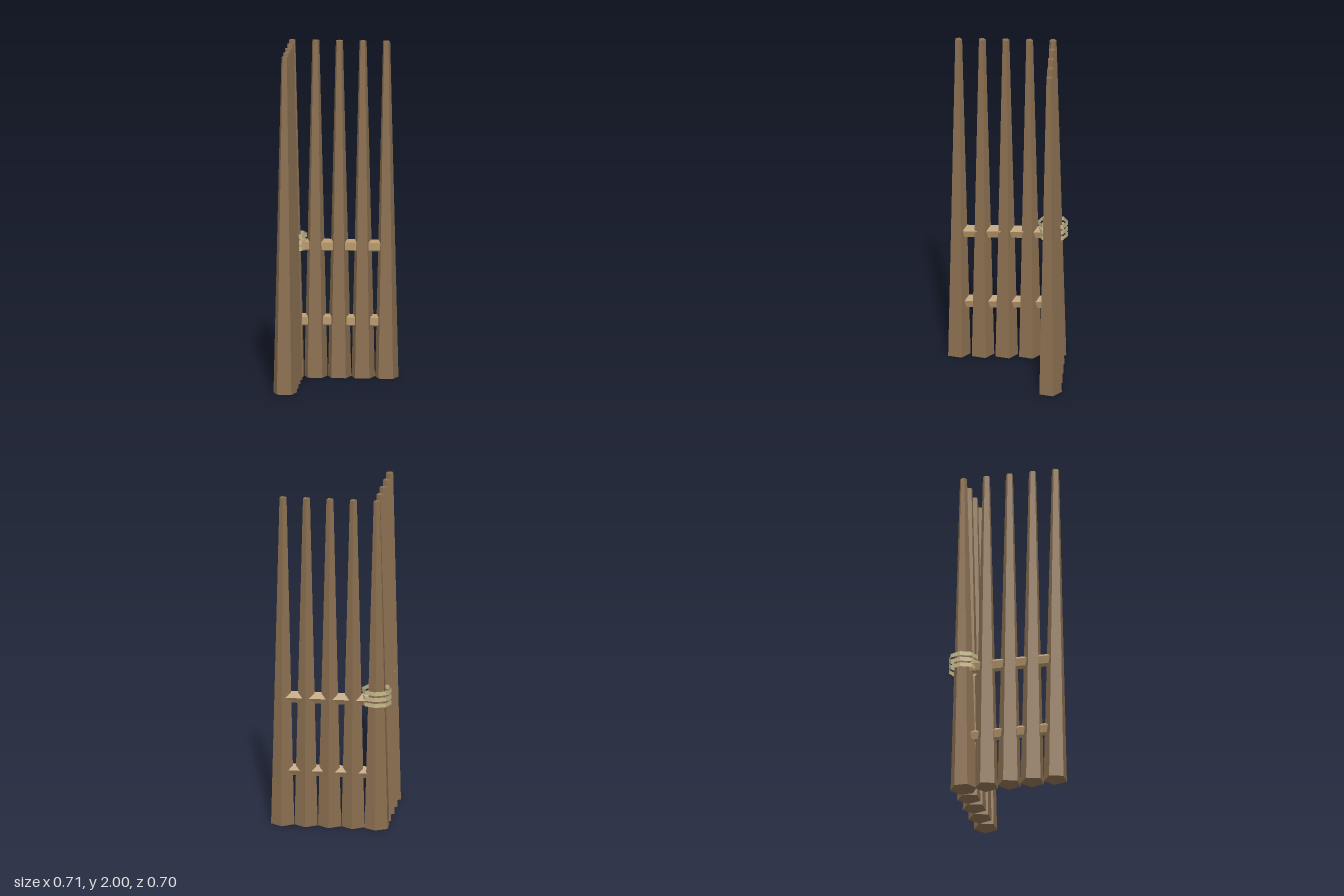
import * as THREE from 'three';

const X0 = -0.267, Z0 = -0.264; // corner post position
const STEP = 0.1385;            // distance between posts
const POSTS = 4;                // posts in each wing besides the corner

export function createModel() {
  const wood = new THREE.MeshStandardMaterial({ color: 0x8b6f50, flatShading: true });
  wood.name = 'post wood';
  const paleWood = new THREE.MeshStandardMaterial({ color: 0xb8996f, flatShading: true });
  paleWood.name = 'rail wood';
  const twine = new THREE.MeshStandardMaterial({ color: 0xc6b98c, flatShading: true, side: THREE.DoubleSide });
  twine.name = 'rope';

  const model = new THREE.Group();
  model.name = 'cornerFence';
  const add = (name, geometry, material, x, y, z) => {
    const mesh = new THREE.Mesh(geometry, material);
    mesh.name = name;
    mesh.position.set(x, y, z);
    model.add(mesh);
  };

  // Six-sided corner post and five-sided tapered posts, one pointed edge to the back
  add('cornerPost', new THREE.CylinderGeometry(0.021, 0.078, 2, 6), wood, X0, 1, Z0);
  const postGeo = new THREE.CylinderGeometry(0.022, 0.072, 2, 5, 1, false, Math.PI);
  for (let i = 1; i <= POSTS; i++) {
    add('backPost' + i, postGeo, wood, X0 + i * STEP, 1, Z0);
    add('sidePost' + i, postGeo, wood, X0, 1, Z0 + i * STEP);
  }

  // Two five-sided rails along each wing, from corner to last post
  const length = POSTS * STEP;
  const rail = () => new THREE.CylinderGeometry(0.038, 0.038, length, 5, 1, false, Math.PI);
  const backRail = rail().rotateZ(Math.PI / 2);
  const sideRail = rail().rotateX(Math.PI / 2);
  for (const [name, y] of [['lower', 0.335], ['upper', 0.78]]) {
    add(name + 'BackRail', backRail, paleWood, X0 + length / 2, y, Z0);
    add(name + 'SideRail', sideRail, paleWood, X0, y, Z0 + length / 2);
  }

  // Three thin open rope bands round the corner post
  const band = new THREE.CylinderGeometry(0.087, 0.087, 0.025, 8, 1, true);
  for (let i = 0; i < 3; i++) add('ropeBand' + (i + 1), band, twine, X0, 0.768 + i * 0.036, Z0);

  return model;
}
